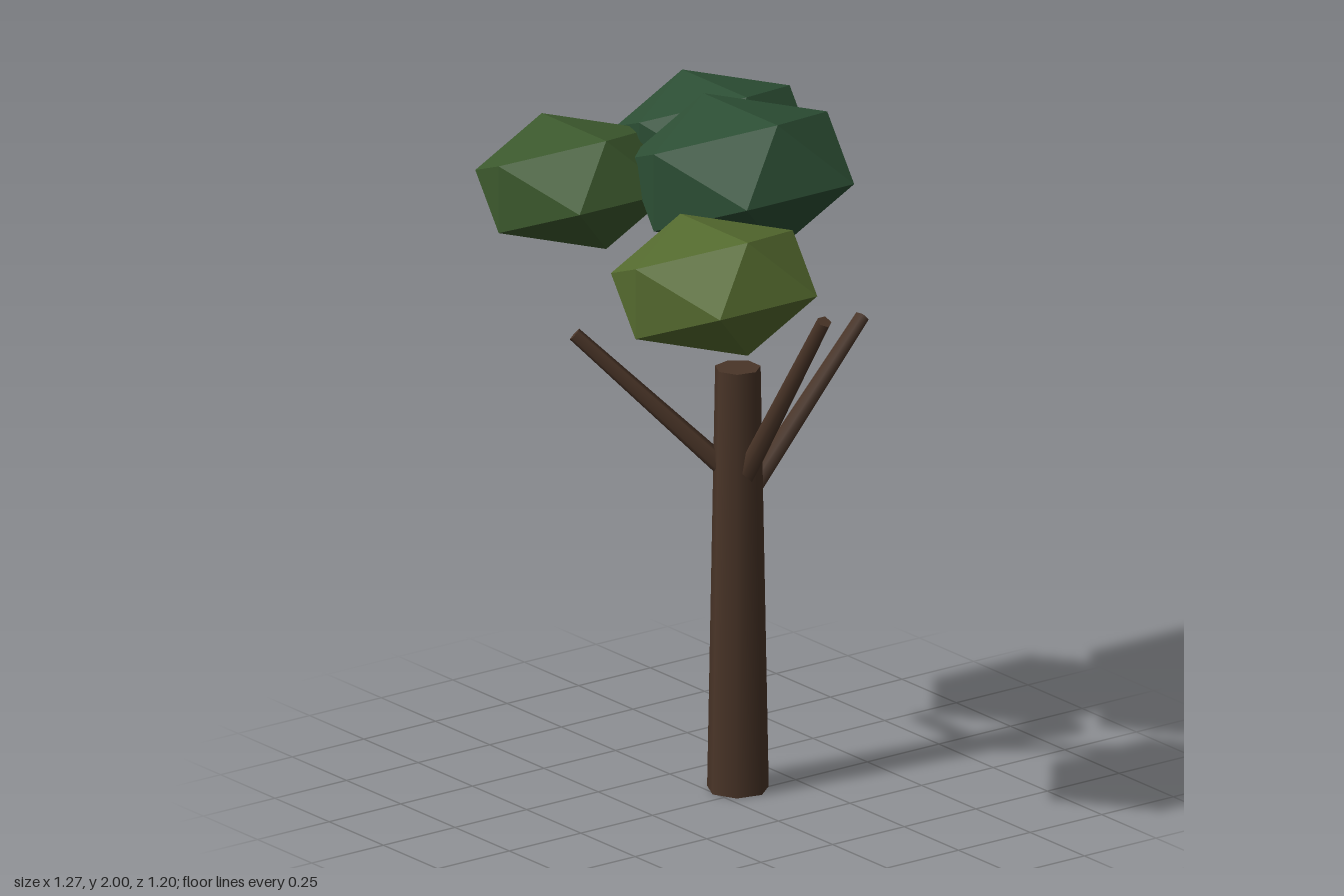
import * as THREE from 'three';

const TRUNK = new THREE.Vector3(-0.04, 0, -0.078);

function add(group, name, geometry, material) {
  const mesh = new THREE.Mesh(geometry, material);
  mesh.name = name;
  group.add(mesh);
  return mesh;
}

export function createModel() {
  const tree = new THREE.Group();
  tree.name = 'tree';
  const bark = new THREE.MeshStandardMaterial({ color: 0x4a3528 });

  // Tapered trunk
  const trunkHeight = 1.24;
  const trunk = add(tree, 'trunk', new THREE.CylinderGeometry(0.065, 0.088, trunkHeight, 7), bark);
  trunk.position.copy(TRUNK).setY(trunkHeight / 2);

  // Bare branches: height on the trunk axis, then the centre of the tip
  const branches = [
    ['rightwardBranch', 0.875, 0.36, 1.485, -0.078],
    ['frontBranch', 0.91, -0.365, 1.315, 0.245],
    ['backBranch', 0.82, -0.132, 1.258, -0.583],
  ];
  for (const [name, startY, x, y, z] of branches) {
    const start = TRUNK.clone().setY(startY);
    const dir = new THREE.Vector3(x, y, z).sub(start);
    const length = dir.length();
    const geometry = new THREE.CylinderGeometry(0.021, 0.031, length, 5)
      .translate(0, length / 2, 0)
      .rotateX(Math.acos(dir.y / length))
      .rotateY(Math.atan2(dir.x, dir.z));
    add(tree, name, geometry, bark).position.copy(start);
  }

  // Faceted, flattened leaf clumps: centre, depth radius, colour
  const clumps = [
    ['mainFoliage', -0.04, 1.815, -0.0875, 0.356, 0x2d4f35],
    ['backFoliage', -0.325, 1.81, -0.2125, 0.309, 0x2d4f35],
    ['frontFoliage', -0.398, 1.7525, 0.2225, 0.309, 0x3d5a2e],
    ['sideFoliage', 0.383, 1.685, 0.325, 0.323, 0x556b2f],
  ];
  for (const [name, x, y, z, r, color] of clumps) {
    const geometry = new THREE.IcosahedronGeometry(1, 0).scale(r * 0.915, r * 0.605, r);
    const leaf = new THREE.MeshStandardMaterial({ color, flatShading: true });
    add(tree, name, geometry, leaf).position.set(x, y, z);
  }

  return tree;
}
